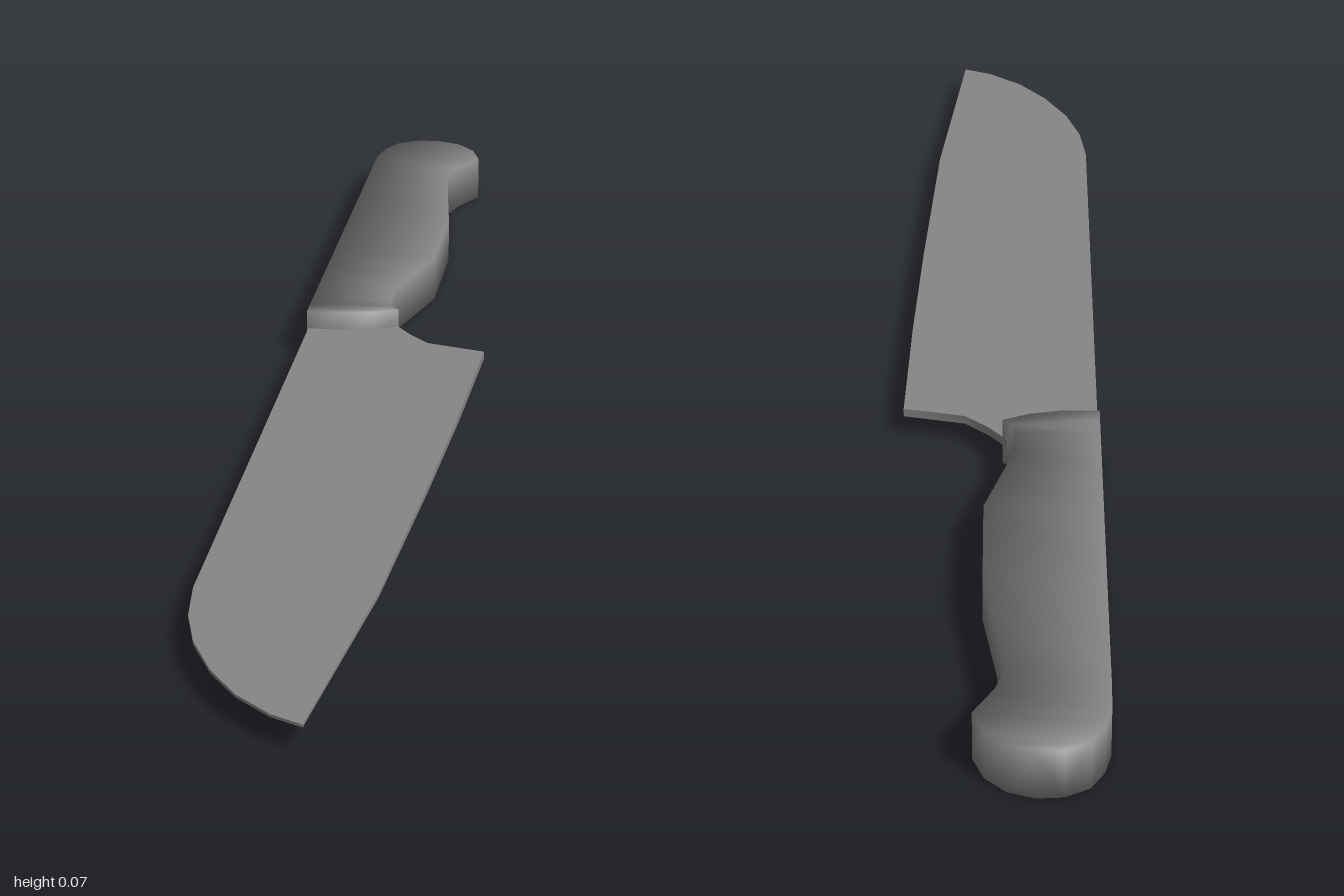
import * as THREE from 'three';
import { toCreasedNormals } from 'three/addons/utils/BufferGeometryUtils.js';

const HANDLE_HEIGHT = 0.07;
const BLADE_Y = 0.036;

// Smooth handle: rectangular cross-sections from the blade end to the butt,
// each given as [spine x, spine z, belly x, belly z].
function handleGeometry() {
  const stations = [
    [-0.09, -0.2, -0.04, -0.21],
    [-0.14, -0.2, -0.003, -0.227],
    [-0.14, -0.225, -0.016, -0.24],
    [-0.14, -0.26, -0.021, -0.26],
    [-0.14, -0.31, -0.02, -0.31],
    [-0.14, -0.38, 0.001, -0.38],
    [-0.14, -0.45, 0.022, -0.45],
    [-0.14, -0.62, 0.022, -0.62],
    [-0.14, -0.74, 0.004, -0.74],
    [-0.14, -0.83, -0.007, -0.83],
    [-0.14, -0.87, 0.005, -0.87],
    [-0.139, -0.915, 0.033, -0.92],
    [-0.13, -0.95, 0.018, -0.96],
    [-0.112, -0.98, -0.01, -0.988],
    [-0.08, -0.998, -0.045, -1],
  ];
  const spine = stations.map(([x, z]) => new THREE.Vector2(x, z));
  const belly = stations.map(([, , x, z]) => new THREE.Vector2(x, z));
  const last = stations.length - 1;
  const positions = [];
  const normals = [];
  const index = [];

  // Corner normals lean outward and up or down, so the walls blend softly into the flats.
  const addCorner = (line, other, s, side, top) => {
    const before = s > 0 ? line[s - 1] : other[0];
    const after = s < last ? line[s + 1] : other[last];
    const t = after.clone().sub(before).normalize();
    const n = new THREE.Vector3(-side * t.y * 1.4, top ? 1 : -1, side * t.x * 1.4).normalize();
    positions.push(line[s].x, top ? HANDLE_HEIGHT : 0, line[s].y);
    normals.push(n.x, n.y, n.z);
  };
  for (let s = 0; s <= last; s++) {
    addCorner(spine, belly, s, -1, false);
    addCorner(belly, spine, s, 1, false);
    addCorner(belly, spine, s, 1, true);
    addCorner(spine, belly, s, -1, true);
  }
  for (let s = 0; s < last; s++) {
    for (let k = 0; k < 4; k++) {
      const a = s * 4 + k;
      const b = s * 4 + ((k + 1) % 4);
      index.push(a, a + 4, b + 4, a, b + 4, b);
    }
  }
  // end caps
  const e = last * 4;
  index.push(0, 1, 2, 0, 2, 3, e, e + 2, e + 1, e, e + 3, e + 2);

  const geometry = new THREE.BufferGeometry();
  geometry.setAttribute('position', new THREE.Float32BufferAttribute(positions, 3));
  geometry.setAttribute('normal', new THREE.Float32BufferAttribute(normals, 3));
  geometry.setIndex(index);
  return geometry;
}

// Flat blade: outline in x and z, thinning toward the tip.
function bladeGeometry() {
  const outline = [
    [-0.138, -0.23], [-0.01, -0.235], [0.018, -0.2], [0.05, -0.17], [0.138, -0.15],
    [0.131, 0.08], [0.12, 0.32], [0.101, 0.65], [0.063, 1],
    [0.02, 0.981], [-0.03, 0.94], [-0.072, 0.885], [-0.108, 0.815],
    [-0.129, 0.745], [-0.138, 0.67],
  ].map(([x, z]) => new THREE.Vector2(x, z));
  const thickness = 0.013;
  const geometry = new THREE.ExtrudeGeometry(new THREE.Shape(outline), {
    depth: thickness, bevelEnabled: false,
  });
  geometry.rotateX(Math.PI / 2);
  geometry.translate(0, thickness / 2, 0);
  const p = geometry.attributes.position;
  for (let i = 0; i < p.count; i++) {
    const taper = THREE.MathUtils.mapLinear(p.getZ(i), -0.235, 1, 1, 0.3);
    p.setY(i, BLADE_Y + p.getY(i) * taper);
  }
  return toCreasedNormals(geometry, 0.6);
}

export function createModel() {
  const group = new THREE.Group();
  group.name = 'kitchenKnife';
  const material = new THREE.MeshStandardMaterial({ color: 0x868686 });

  const handle = new THREE.Mesh(handleGeometry(), material);
  handle.name = 'handle';
  const blade = new THREE.Mesh(bladeGeometry(), material);
  blade.name = 'blade';

  group.add(handle, blade);
  return group;
}
